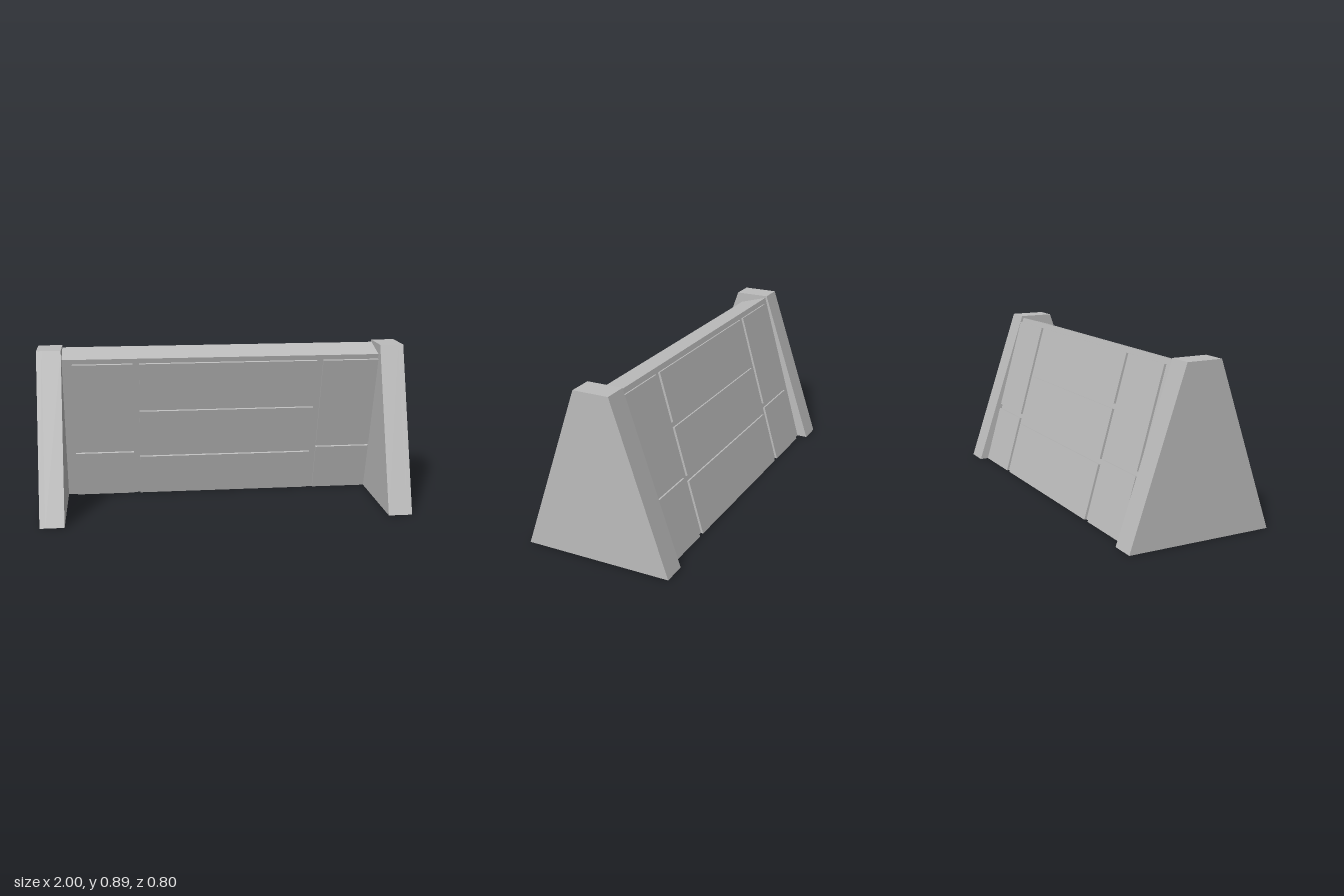
import * as THREE from 'three';

const TILT = THREE.MathUtils.degToRad(16);
const SIN = Math.sin(TILT), COS = Math.cos(TILT);
const THICK = 0.161, RELIEF = 0.012, BACK_Z = -0.338;

// Extrude a [z, y] outline along x from x0 to x1, with optional hole
function extrudeX(points, x0, x1, hole) {
  const toV = ([z, y]) => new THREE.Vector2(-z, y);
  const shape = new THREE.Shape(points.map(toV));
  if (hole) shape.holes.push(new THREE.Path(hole.map(toV)));
  const geo = new THREE.ExtrudeGeometry(shape, { depth: x1 - x0, bevelEnabled: false });
  return geo.rotateY(Math.PI / 2).translate(x0, 0, 0);
}

// Leaning slab section between two heights along the slope; a null bottom is cut flat at the ground
function leaningSection(bottom, top, relief) {
  const at = (s, t) => [BACK_Z + s * SIN + t * COS, s * COS - t * SIN];
  const back = -relief, front = THICK + relief;
  const low = (t) => at(bottom === null ? (t * SIN) / COS : bottom, t);
  return [low(front), at(top, front), at(top, back), low(back)];
}

export function createModel() {
  const group = new THREE.Group();
  const concrete = new THREE.MeshStandardMaterial({ color: 0xbcbcbc });
  concrete.name = 'concrete grey';

  const add = (name, geo) => {
    const mesh = new THREE.Mesh(geo, concrete);
    mesh.name = name;
    group.add(mesh);
  };

  // Leaning wall
  add('wallCore', extrudeX(leaningSection(null, 0.91, 0), -0.88, 0.88));

  // Raised blocks on both faces; heights are those of the front face
  const slope = (y) => (y + (THICK + RELIEF) * SIN) / COS;
  const sideRows = [[null, 0.265], [0.29, 0.8]];
  const midRows = [[null, 0.235], [0.263, 0.518], [0.545, 0.8]];
  const columns = [
    ['rightBlock', -0.818, -0.491, sideRows],
    ['middleBlock', -0.456, 0.525, midRows],
    ['leftBlock', 0.56, 0.88, sideRows],
  ];
  for (const [name, x0, x1, rows] of columns) {
    rows.forEach(([y0, y1], i) => {
      const section = leaningSection(y0 === null ? null : slope(y0), slope(y1), RELIEF);
      add(`${name}${i + 1}`, extrudeX(section, x0, x1));
    });
  }

  // End supports: solid plate with a raised rim around the outer face
  const outline = [[0.398, 0], [0.096, 0.886], [-0.096, 0.886], [-0.398, 0]];
  const recess = [[0.367, 0.032], [0.087, 0.855], [-0.087, 0.855], [-0.367, 0.032]];
  const RIM = 0.03;
  for (const [side, sign] of [['left', 1], ['right', -1]]) {
    const span = (a, b) => (sign > 0 ? [a, b] : [-b, -a]);
    add(`${side}SupportPlate`, extrudeX(outline, ...span(0.87, 1 - RIM)));
    add(`${side}SupportRim`, extrudeX(outline, ...span(1 - RIM, 1), recess));
  }
  return group;
}
